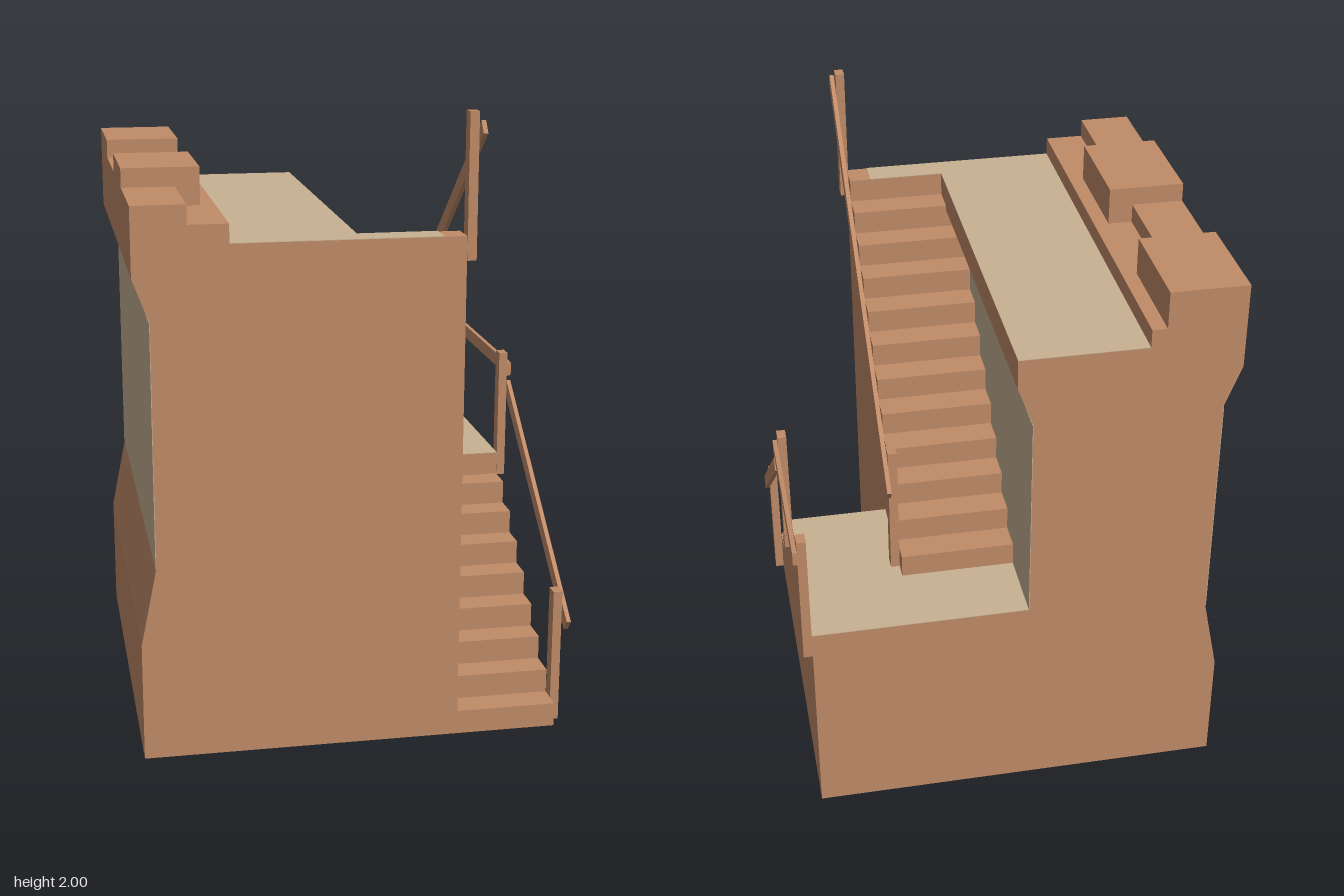
import * as THREE from 'three';

const brick = new THREE.MeshStandardMaterial({ color: 0xc08b68 });
brick.name = 'brown brick';
const sand = new THREE.MeshStandardMaterial({ color: 0xc9b193 });
sand.name = 'pale sand';

// Main dimensions
const BACK = -0.712, FRONT = 0.667, DEPTH = FRONT - BACK;
const LEVEL = 0.70, TOP = 1.63;          // landing and walkway heights
const INNER = 0.32, OUTER = 0.645;       // outer sides of the two flights
const RUN = 0.0945, TOP_EDGE = 0.575;    // tread depth, last riser position

export function createModel() {
  const model = new THREE.Group();
  model.name = 'wallWithStairs';
  const body = new THREE.Group();
  body.name = 'structure';
  body.rotation.y = -0.0115;
  model.add(body);

  const add = (name, geometry, material) => {
    const mesh = new THREE.Mesh(geometry, material);
    mesh.name = name;
    body.add(mesh);
    return mesh;
  };
  // Box given by its limits on each axis
  const block = (name, [x0, x1], [y0, y1], [z0, z1], material = brick) => {
    const mesh = add(name, new THREE.BoxGeometry(x1 - x0, y1 - y0, z1 - z0), material);
    mesh.position.set((x0 + x1) / 2, (y0 + y1) / 2, (z0 + z1) / 2);
    return mesh;
  };
  const shapeOf = (points) => new THREE.Shape(points.map(([x, y]) => new THREE.Vector2(x, y)));

  // Wall cross-section: waisted sides, overhanging walkway, stepped parapet
  const wall = new THREE.ExtrudeGeometry(shapeOf([
    [-0.688, 0], [-0.05, 0], [-0.05, 1.40], [0, 1.535], [0, TOP],
    [-0.398, TOP], [-0.398, 1.69], [-0.522, 1.69], [-0.522, 1.75], [-0.688, 1.75],
    [-0.688, 1.535], [-0.637, 1.40], [-0.637, 0.63], [-0.688, 0.38],
  ]), { depth: DEPTH, bevelEnabled: false });
  wall.translate(0, 0, BACK);
  add('wall', wall, brick);

  // Two merlons along the parapet
  for (const z of [BACK, BACK + DEPTH / 2]) {
    block('merlon', [-0.688, -0.445], [1.69, 1.81], [z, z + DEPTH / 4]);
  }

  // Solid from a side outline in (z, y), spanning x0 to x1
  const sideSolid = (name, points, x0, x1) => {
    const geometry = new THREE.ExtrudeGeometry(
      shapeOf(points.map(([z, y]) => [-z, y])), { depth: x1 - x0, bevelEnabled: false });
    geometry.rotateY(Math.PI / 2);
    geometry.translate(x0, 0, 0);
    add(name, geometry, brick);
  };

  // Upper flight, climbing towards the front from the landing
  const upper = [[FRONT, 0], [BACK, 0], [BACK, LEVEL]];
  const upperRise = (TOP - LEVEL) / 12;
  for (let i = 0; i < 12; i++) {
    const z = TOP_EDGE - (11 - i) * RUN;
    upper.push([z, LEVEL + i * upperRise], [z, LEVEL + (i + 1) * upperRise]);
  }
  upper.push([FRONT, TOP]);
  sideSolid('upperStairs', upper, -0.05, INNER);

  // Lower flight, climbing from the front to the landing
  const lower = [[BACK, LEVEL], [BACK, 0], [FRONT, 0]];
  const lowerRise = LEVEL / 9;
  for (let i = 1; i <= 8; i++) {
    const z = TOP_EDGE - 0.002 - (i - 1) * RUN;
    lower.push([i === 1 ? FRONT : z + RUN, i * lowerRise], [z, i * lowerRise]);
  }
  lower.push([TOP_EDGE - 0.002 - 7 * RUN, LEVEL]);
  sideSolid('lowerStairs', lower, INNER, OUTER);

  // Pale floors and wall panels as thin plates
  const t = 0.002, landingEdge = TOP_EDGE - 0.002 - 7 * RUN;
  block('walkwayFloor', [-0.398, 0], [TOP, TOP + t], [BACK, FRONT], sand);
  block('stairHeadFloor', [0, 0.25], [TOP, TOP + t], [TOP_EDGE, FRONT], sand);
  block('landingFloorBack', [-0.05, OUTER], [LEVEL, LEVEL + t], [BACK, TOP_EDGE - 11 * RUN], sand);
  block('landingFloorSide', [INNER, OUTER], [LEVEL, LEVEL + t], [TOP_EDGE - 11 * RUN, landingEdge], sand);
  block('outerPanel', [-0.637 - t, -0.637], [0.63, 1.40], [BACK, FRONT], sand);
  block('innerPanel', [-0.05, -0.05 + t], [LEVEL, 1.40], [BACK, FRONT - 0.01], sand);

  // Railing posts: side x, bottom y, back z
  const posts = [
    [INNER, 1.555, 0.624], [INNER, LEVEL, -0.411],
    [OUTER, 0, 0.575], [OUTER, 0.62, -0.132], [OUTER, 0.62, BACK],
  ];
  for (const [x, y, z] of posts) {
    block('railPost', [x, x + 0.029], [y, y + 0.447], [z, z + 0.046]);
  }

  // Handrails between two (z, y) centre points
  const rail = (name, x, [z0, y0], [z1, y1]) => {
    const length = Math.hypot(z1 - z0, y1 - y0);
    const mesh = add(name, new THREE.BoxGeometry(0.014, 0.046, length), brick);
    mesh.position.set(x, (y0 + y1) / 2, (z0 + z1) / 2);
    mesh.rotation.x = -Math.atan2(y1 - y0, z1 - z0);
  };
  rail('upperHandrail', INNER + 0.036, [-0.468, 1.028], [0.702, 1.96]);
  rail('lowerHandrail', OUTER + 0.036, [0.662, 0.346], [-0.103, 0.948]);
  rail('landingHandrail', OUTER + 0.036, [BACK, 1.008], [-0.085, 1.008]);

  return model;
}
